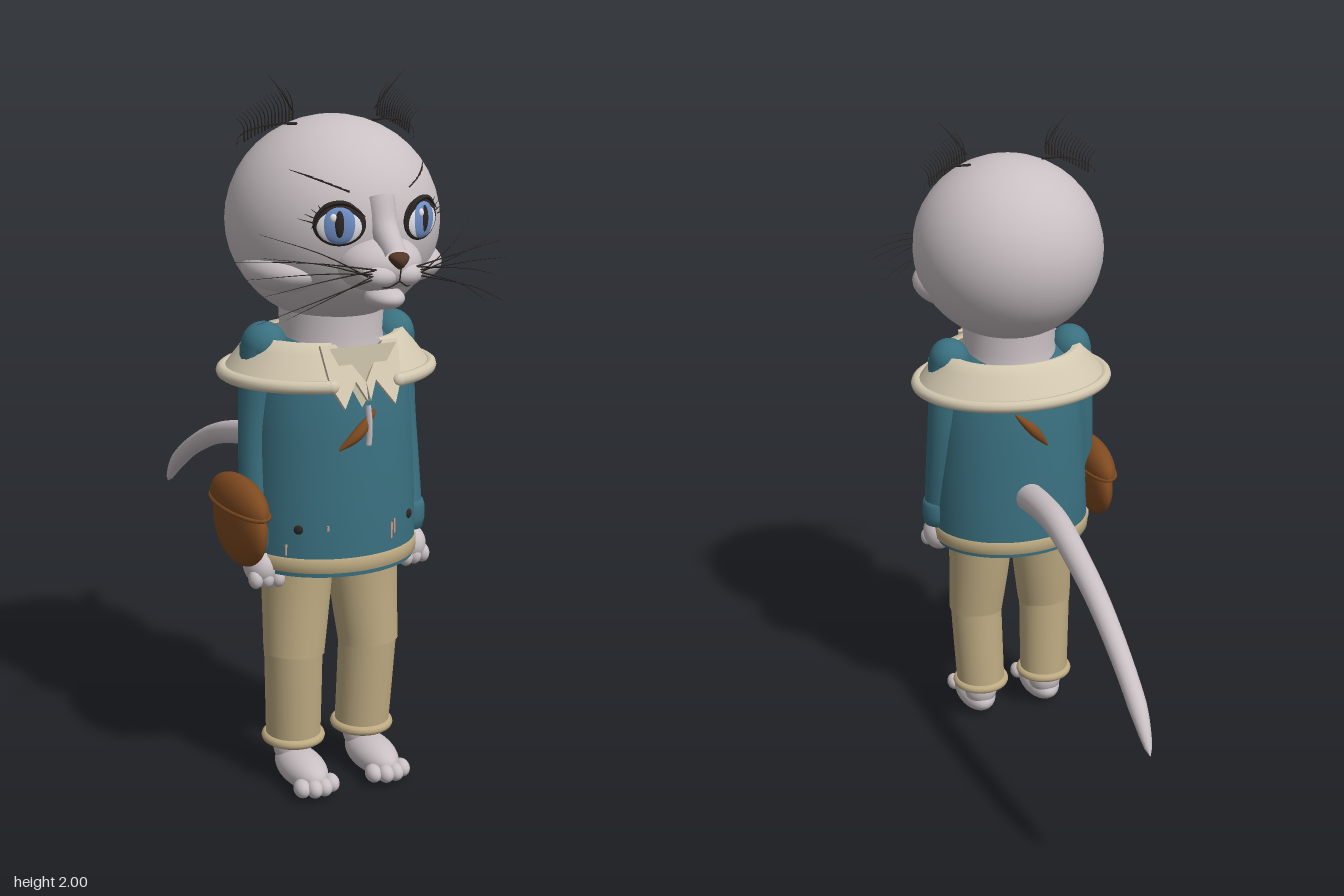
import * as THREE from 'three';

const mat = (name, color) => Object.assign(new THREE.MeshStandardMaterial({ color }), { name });
const V = (x, y, z) => new THREE.Vector3(x, y, z);

export function createModel() {
  const root = new THREE.Group();
  root.name = 'cat';
  const fur = mat('fur', 0xc9c0c3), teal = mat('tealCoat', 0x3a7080), cream = mat('cream', 0xd3c8b0);
  const khaki = mat('khaki', 0xbeab82), brown = mat('leather', 0x7f4a20), dark = mat('dark', 0x2c2624);
  const blue = mat('iris', 0x6f90c8), nose = mat('noseBrown', 0x523626), pink = mat('stitch', 0xc79a8c);
  const white = mat('eyeWhite', 0xe6e6ea);
  cream.side = khaki.side = teal.side = THREE.DoubleSide;

  const add = (name, geo, m, parent = root) => {
    const mesh = new THREE.Mesh(geo, m);
    mesh.name = name;
    parent.add(mesh);
    return mesh;
  };
  const ball = (name, p, r, m, parent = root) => {
    const b = add(name, new THREE.SphereGeometry(1, 32, 20), m, parent);
    b.position.set(...p);
    b.scale.set(...r);
    return b;
  };
  // Tube along a curve whose radius follows a rule
  const taper = (name, pts, radius, m, segs = 24, sides = 16, parent = root) => {
    const curve = new THREE.CatmullRomCurve3(pts.map(p => V(...p)));
    const g = new THREE.TubeGeometry(curve, segs, 1, sides);
    const n = g.attributes.position, v = V(0, 0, 0);
    for (let i = 0; i <= segs; i++) {
      const c = curve.getPointAt(i / segs), r = radius(i / segs);
      for (let j = 0; j <= sides; j++) {
        const k = i * (sides + 1) + j;
        v.fromBufferAttribute(n, k).sub(c).multiplyScalar(r).add(c);
        n.setXYZ(k, v.x, v.y, v.z);
      }
    }
    g.computeVertexNormals();
    return add(name, g, m, parent);
  };
  const hair = (name, pts, r = 0.002, parent = root) => taper(name, pts, t => r * (1 - 0.85 * t), dark, 8, 4, parent);
  const lathe = (name, prof, p, zScale, m, start = 0, len = Math.PI * 2) => {
    const l = add(name, new THREE.LatheGeometry(prof.map(q => new THREE.Vector2(...q)), 56, start, len), m);
    l.position.set(...p);
    l.scale.z = zScale;
    return l;
  };

  // Head, muzzle and neck
  ball('head', [0, 1.613, 0.4], [0.287, 0.277, 0.3], fur);
  ball('snout', [0, 1.535, 0.66], [0.115, 0.075, 0.11], fur);
  taper('noseBridge', [[0, 1.7, 0.66], [0, 1.63, 0.69], [0, 1.565, 0.755]], t => 0.042 - 0.012 * t, fur);
  ball('chin', [0, 1.45, 0.7], [0.05, 0.03, 0.06], fur);
  lathe('neck', [[0.15, 1.26], [0.14, 1.31], [0.145, 1.4]], [0, 0, 0.4], 1, fur);
  const noseMesh = ball('nose', [0, 1.557, 0.772], [0.036, 0.022, 0.026], nose);
  const np = noseMesh.geometry.attributes.position;
  for (let i = 0; i < np.count; i++) np.setX(i, np.getX(i) * (0.65 + 0.45 * np.getY(i)));
  noseMesh.geometry.computeVertexNormals();
  taper('mouthSeam', [[0, 1.54, 0.785], [0, 1.505, 0.778]], () => 0.002, dark, 4, 5);

  for (const s of [1, -1]) {
    ball('whiskerPad', [s * 0.036, 1.515, 0.725], [0.052, 0.036, 0.052], fur);
    ball('cheek', [s * 0.17, 1.5, 0.46], [0.108, 0.062, 0.15], fur);
    taper('mouth', [[0, 1.505, 0.778], [s * 0.03, 1.489, 0.766], [s * 0.06, 1.497, 0.745]], () => 0.002, dark, 8, 5);

    // Layered eye, turned to follow the head
    const eye = new THREE.Group();
    eye.name = s > 0 ? 'leftEye' : 'rightEye';
    eye.position.set(s * 0.117, 1.642, 0.67);
    eye.rotation.y = s * 0.42;
    root.add(eye);
    ball('eyeRim', [0, 0, 0], [0.068, 0.056, 0.014], dark, eye);
    ball('eyeWhite', [0, -0.003, 0.002], [0.062, 0.049, 0.0145], white, eye);
    ball('iris', [0, -0.002, 0.004], [0.05, 0.049, 0.015], blue, eye);
    ball('pupil', [0, 0, 0.007], [0.018, 0.04, 0.015], dark, eye);
    ball('catchlight', [-0.016, 0.018, 0.015], [0.009, 0.011, 0.006], white, eye);
    taper('upperLid', [[-0.07, -0.01, 0.004], [-0.04, 0.044, 0.01], [0.015, 0.055, 0.01], [0.066, 0.02, 0.004]],
      t => 0.001 + 0.006 * Math.sin(Math.PI * t), dark, 14, 6, eye);
    for (let i = 0; i < 4; i++) {
      const x = s * (0.045 + 0.017 * i);
      hair('lash', [[s * (0.045 + i * 0.007), 0.035 - i * 0.01, 0.006], [x + s * 0.01, 0.052 - i * 0.012, 0.006]], 0.002, eye);
    }

    // Brow strokes
    for (let i = 0; i < 5; i++) {
      const x = 0.085 + i * 0.018, y = 1.722 + i * 0.008;
      const z = q => 0.403 + 0.3 * Math.sqrt(1 - (q[0] / 0.287) ** 2 - ((q[1] - 1.613) / 0.277) ** 2);
      const a = [x, y], b = [x + 0.04, y + 0.016];
      hair('brow', [[s * a[0], a[1], z(a)], [s * b[0], b[1], z(b)]], 0.003);
    }

    // Whiskers
    const ends = [[0.39, 1.56, 0.63], [0.38, 1.52, 0.67], [0.36, 1.41, 0.7], [0.31, 1.62, 0.6],
      [0.34, 1.48, 0.7], [0.29, 1.42, 0.72], [0.33, 1.57, 0.66]];
    ends.forEach(([x, y, z], i) => {
      const y0 = 1.535 - (i % 4) * 0.01;
      hair('whisker', [[s * 0.055, y0, 0.76], [s * (0.06 + x) * 0.5, (y0 + y) / 2 + 0.014, (0.77 + z) / 2 + 0.035], [s * x, y, z]], 0.0022);
    });

    // Ear tufts
    for (let i = 0; i < 15; i++) {
      const t = i / 14, x = 0.125 + t * 0.12, y = 1.895 - t * 0.035 - t * t * 0.02, z = 0.415 - t * 0.04;
      const l = 0.075 - 0.025 * t;
      hair('earTuft', [[s * x, y - 0.015, z], [s * (x + 0.005), y + l * 0.5, z + 0.004], [s * (x + 0.028), y + l, z + 0.008]], 0.0026);
    }
    hair('earTip', [[s * 0.12, 1.9, 0.41], [s * 0.16, 1.955, 0.42], [s * 0.2, 2, 0.425]], 0.003);
    hair('earEdge', [[s * 0.11, 1.87, 0.41], [s * 0.18, 1.87, 0.4], [s * 0.26, 1.84, 0.37], [s * 0.265, 1.81, 0.37]], 0.004);
  }

  // Coat with hem trim
  lathe('coat', [[0.244, 0.665], [0.247, 0.72], [0.243, 0.85], [0.232, 1.05], [0.215, 1.2], [0.18, 1.27], [0.13, 1.31]],
    [0, 0, 0.403], 0.83, teal);
  lathe('hemTrim', [[0.243, 0.676], [0.251, 0.678], [0.252, 0.698], [0.251, 0.716], [0.243, 0.72]], [0, 0, 0.403], 0.83, khaki);
  ball('hips', [0, 0.71, 0.405], [0.19, 0.1, 0.16], fur);

  // Wide collar, open at the front
  const gap = 0.34, sweep = Math.PI * 2 - gap * 2;
  lathe('collar', [[0.298, 1.2], [0.272, 1.235], [0.24, 1.275], [0.215, 1.305], [0.19, 1.3]], [0, 0, 0.378], 0.82, cream, gap, sweep);
  const roll = new THREE.TorusGeometry(0.296, 0.018, 10, 64, sweep);
  roll.rotateZ(Math.PI / 2 + gap).rotateX(Math.PI / 2);
  const rollMesh = add('collarRoll', roll, cream);
  rollMesh.position.set(0, 1.2, 0.378);
  rollMesh.scale.z = 0.82;
  for (const s of [1, -1]) {
    ball('collarRollEnd', [s * 0.099, 1.2, 0.607], [0.018, 0.018, 0.015], cream);
    const lapel = new THREE.Shape([[0.115, 0.11], [0.105, 0], [0.075, -0.065], [0.03, 0.005], [0.004, -0.05], [0, 0.0], [0.07, 0.11]]
      .map(([x, y]) => new THREE.Vector2(s * x, y)));
    const l = add('lapel', new THREE.ExtrudeGeometry(lapel, { depth: 0.01, bevelEnabled: false }), cream);
    l.position.set(0, 1.2, 0.6);
    l.rotation.x = -0.42;
  }
  add('throat', new THREE.ShapeGeometry(new THREE.Shape([[-0.1, 1.3], [0, 1.13], [0.1, 1.3]].map(p => new THREE.Vector2(...p)))), cream)
    .position.z = 0.588;
  taper('cord', [[0.01, 1.14, 0.602], [0.014, 1.08, 0.606], [0.012, 1.03, 0.605]], () => 0.008, fur, 8, 8);
  const coatZ = (x, y) => 0.405 + 0.83 * Math.sqrt((y > 1 ? 0.232 : 0.245) ** 2 - x * x);

  // Shoulder strap where it crosses the coat
  const bead = t => 0.003 + 0.013 * Math.sin(Math.PI * t);
  taper('frontStrap', [[-0.07, 1.02, 0.592], [-0.02, 1.06, 0.6], [0.04, 1.12, 0.588]], bead, brown);
  taper('backStrap', [[0.04, 1.14, 0.22], [-0.01, 1.09, 0.207], [-0.06, 1.03, 0.213]], bead, brown);

  // Buttons and stitches
  for (const s of [1, -1]) {
    const b = ball('button', [s * 0.17, 0.8, coatZ(0.17, 0.8)], [0.013, 0.013, 0.006], dark);
    b.rotation.y = s * 0.7;
  }
  for (const [x, y, h] of [[0.093, 0.775, 0.045], [0.104, 0.785, 0.04], [-0.1, 0.805, 0.014], [-0.195, 0.74, 0.03], [0.17, 0.8, 0.02]])
    add('stitch', new THREE.BoxGeometry(0.005, h, 0.006), pink).position.set(x, y, coatZ(x, y) - 0.001);

  for (const s of [1, -1]) {
    // Sleeves, cuffs and paws
    ball('shoulder', [s * 0.195, 1.28, 0.388], [0.062, 0.064, 0.067], teal);
    taper('sleeve', [[s * 0.2, 1.28, 0.388], [s * 0.212, 1.08, 0.388], [s * 0.222, 0.92, 0.405], [s * 0.228, 0.76, 0.43]],
      t => 0.061 - 0.013 * t, teal);
    const cuff = lathe('cuff', [[0.035, 0.715], [0.05, 0.72], [0.056, 0.75], [0.055, 0.785], [0.05, 0.8], [0.04, 0.802]],
      [s * 0.228, 0, 0.427], 1, teal);
    cuff.rotation.x = 0;
    ball('paw', [s * 0.23, 0.675, 0.443], [0.048, 0.055, 0.06], fur);
    for (let i = 0; i < 3; i++) ball('finger', [s * (0.2 + i * 0.03), 0.648, 0.485 - i * 0.006], [0.02, 0.027, 0.024], fur);
    ball('thumb', [s * 0.188, 0.675, 0.455], [0.018, 0.03, 0.022], fur);

    // Trousers with rolled hems
    taper('thigh', [[s * 0.1, 0.74, 0.4], [s * 0.106, 0.57, 0.408], [s * 0.118, 0.395, 0.421]], t => 0.108 - 0.022 * t, khaki, 16, 32);
    taper('shin', [[s * 0.118, 0.42, 0.417], [s * 0.114, 0.27, 0.41], [s * 0.11, 0.125, 0.402]], t => 0.083 - 0.005 * t, khaki, 16, 32);
    const hem = add('trouserHem', new THREE.TorusGeometry(0.077, 0.014, 10, 36), khaki);
    hem.rotation.x = Math.PI / 2;
    hem.position.set(s * 0.11, 0.132, 0.402);

    // Feet and toes
    ball('ankle', [s * 0.112, 0.1, 0.4], [0.055, 0.06, 0.055], fur);
    ball('foot', [s * 0.113, 0.057, 0.462], [0.062, 0.052, 0.118], fur);
    for (let i = 0; i < 4; i++)
      ball('toe', [s * (0.068 + i * 0.03), 0.04, 0.558 + (i === 1 || i === 2 ? 0.016 : 0)], [0.023, 0.026, 0.03], fur);
  }

  // Satchel on the right hip
  ball('satchel', [-0.285, 0.8, 0.425], [0.046, 0.118, 0.15], brown);
  const flap = add('satchelFlap', new THREE.SphereGeometry(1, 32, 12, 0, Math.PI * 2, 0, Math.PI * 0.55), brown);
  flap.position.set(-0.287, 0.858, 0.425);
  flap.scale.set(0.052, 0.075, 0.16);
  taper('flapEdge', Array.from({ length: 13 }, (_, i) => {
    const a = i / 12 * Math.PI * 2;
    return [-0.287 + 0.05 * Math.cos(a), 0.85, 0.425 + 0.156 * Math.sin(a)];
  }), () => 0.007, brown, 40, 8);

  // Tail
  taper('tail', [[0, 0.855, 0.26], [0, 0.882, 0.1], [0, 0.889, -0.05], [0, 0.858, -0.22], [0, 0.805, -0.4],
    [0, 0.708, -0.6], [0, 0.625, -0.72], [0, 0.54, -0.8]],
    t => t < 0.88 ? 0.046 - 0.022 * t : 0.0266 * Math.sqrt(Math.max(0.001, (1 - t) / 0.12)), fur, 48, 20);

  return root;
}
